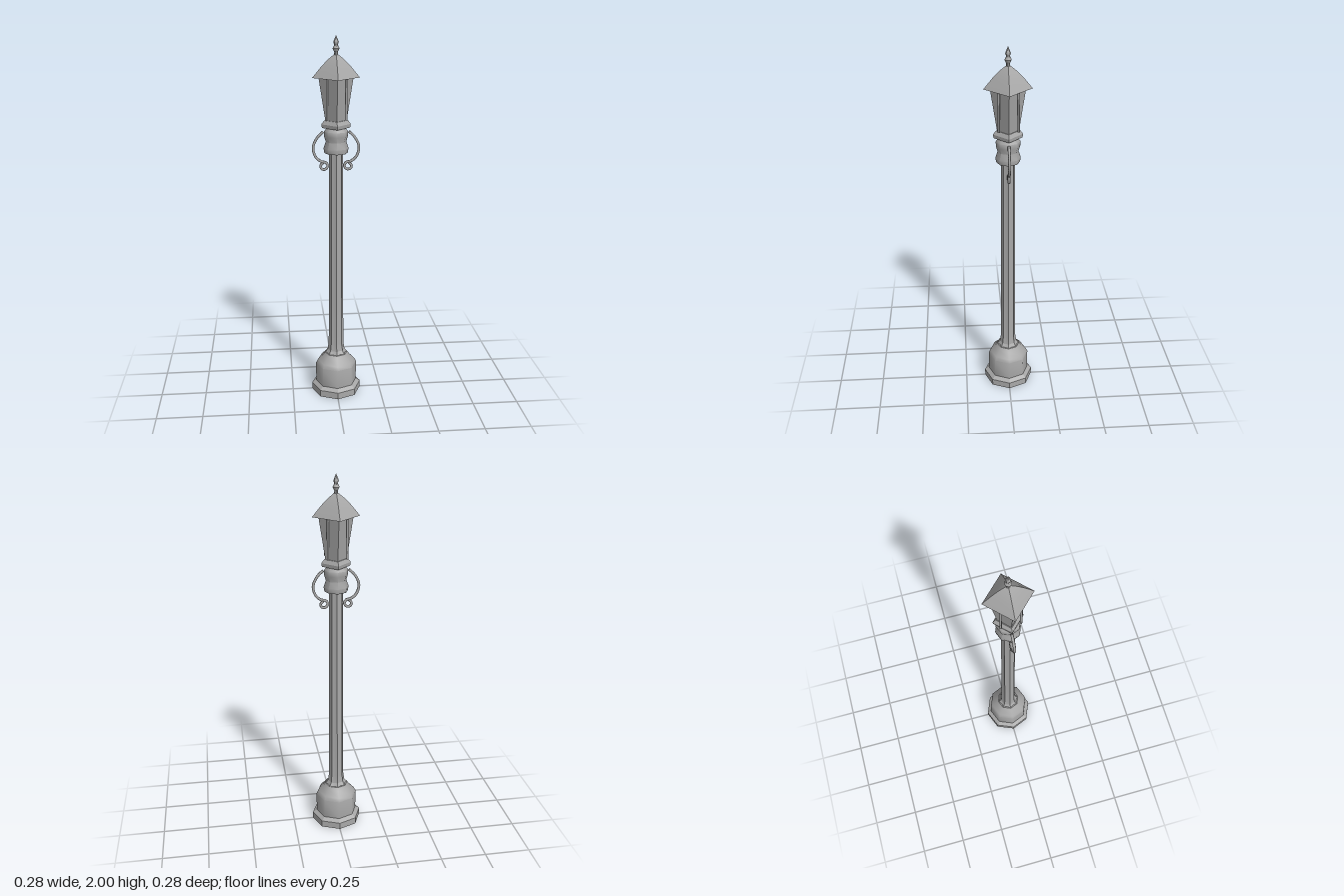
import * as THREE from 'three';
import { toCreasedNormals } from 'three/addons/utils/BufferGeometryUtils.js';

const iron = new THREE.MeshStandardMaterial({ color: 0xa8a8a8, side: THREE.DoubleSide });
iron.name = 'grey iron';

// Turned part: profile of [radius, height], with corners on the x and z axes
function turned(name, sides, profile, crease) {
  const points = profile.map(([r, y]) => new THREE.Vector2(r, y));
  const geometry = toCreasedNormals(new THREE.LatheGeometry(points, sides), crease);
  const mesh = new THREE.Mesh(geometry, iron);
  mesh.name = name;
  return mesh;
}

// Fluted column: every other corner is pulled in
function makeColumn() {
  const points = [[0.062, 0.23], [0.048, 0.25], [0.042, 0.29], [0.04, 0.58], [0.037, 1.4]]
    .map(([r, y]) => new THREE.Vector2(r, y));
  const sides = 16;
  const geometry = new THREE.LatheGeometry(points, sides);
  const position = geometry.attributes.position;
  for (let i = 0; i < position.count; i++) {
    const step = Math.floor(i / points.length);
    if (step % 2 === 1) {
      position.setX(i, position.getX(i) * 0.86);
      position.setZ(i, position.getZ(i) * 0.86);
    }
  }
  const mesh = new THREE.Mesh(toCreasedNormals(geometry, 0.35), iron);
  mesh.name = 'flutedColumn';
  return mesh;
}

// Curled bracket on one side of the collar
function makeScroll(side) {
  const path = [
    [0.068, 1.508], [0.1, 1.475], [0.121, 1.425], [0.108, 1.375], [0.08, 1.35],
    [0.054, 1.343], [0.044, 1.325], [0.056, 1.307], [0.076, 1.309], [0.082, 1.327], [0.068, 1.342],
  ].map(([x, y]) => new THREE.Vector3(x * side, y, 0));
  const curve = new THREE.CatmullRomCurve3(path);
  const group = new THREE.Group();
  group.name = side > 0 ? 'leftScroll' : 'rightScroll';
  const tube = new THREE.Mesh(new THREE.TubeGeometry(curve, 40, 0.0075, 6), iron);
  tube.name = 'scrollTube';
  group.add(tube);
  // Closed tube ends
  for (const t of [0, 1]) {
    const cap = new THREE.Mesh(new THREE.CircleGeometry(0.0075, 6), iron);
    cap.name = 'scrollEnd';
    const point = curve.getPoint(t);
    cap.position.copy(point);
    cap.lookAt(point.clone().addScaledVector(curve.getTangent(t), t ? 1 : -1));
    group.add(cap);
  }
  return group;
}

export function createModel() {
  const model = new THREE.Group();
  model.name = 'streetLamp';

  // Hollow eight-sided foot
  model.add(turned('plinth', 8, [[0.138, 0], [0.138, 0.038], [0.115, 0.055]], 0.4));
  model.add(turned('pedestal', 8, [
    [0.115, 0.055], [0.115, 0.165], [0.105, 0.185], [0.075, 0.215], [0.064, 0.232], [0.035, 0.235],
  ], 0.85));

  model.add(makeColumn());

  // Collar with a waist
  model.add(turned('collar', 8, [
    [0.03, 1.395], [0.062, 1.395], [0.066, 1.42], [0.054, 1.455],
    [0.063, 1.485], [0.063, 1.51], [0.048, 1.528], [0, 1.53],
  ], 0.85));
  model.add(makeScroll(1), makeScroll(-1));

  // Four-sided lantern, corners facing front, back and sides
  model.add(turned('lanternTray', 4, [
    [0, 1.528], [0.074, 1.528], [0.077, 1.547], [0.062, 1.567], [0, 1.567],
  ], 0.3));
  model.add(turned('lanternPanes', 4, [[0.056, 1.566], [0.09, 1.787]], 0.3));

  // Rods hanging under the roof, one before each pane
  for (const x of [-0.05, 0.05]) {
    for (const z of [-0.05, 0.05]) {
      const rod = new THREE.Mesh(new THREE.CylinderGeometry(0.006, 0.006, 0.215, 6), iron);
      rod.name = 'lanternRod';
      rod.position.set(x, 1.683, z);
      model.add(rod);
    }
  }

  // Domed pyramid roof with a flat underside
  model.add(turned('roof', 4, [
    [0, 1.786], [0.123, 1.786], [0.078, 1.841], [0.042, 1.878], [0.012, 1.902], [0, 1.903],
  ], 0.5));

  // Spire
  model.add(turned('finial', 8, [
    [0.01, 1.895], [0.009, 1.915], [0.018, 1.933], [0.009, 1.95], [0.014, 1.965], [0.007, 1.982], [0, 2],
  ], 0.85));

  return model;
}
